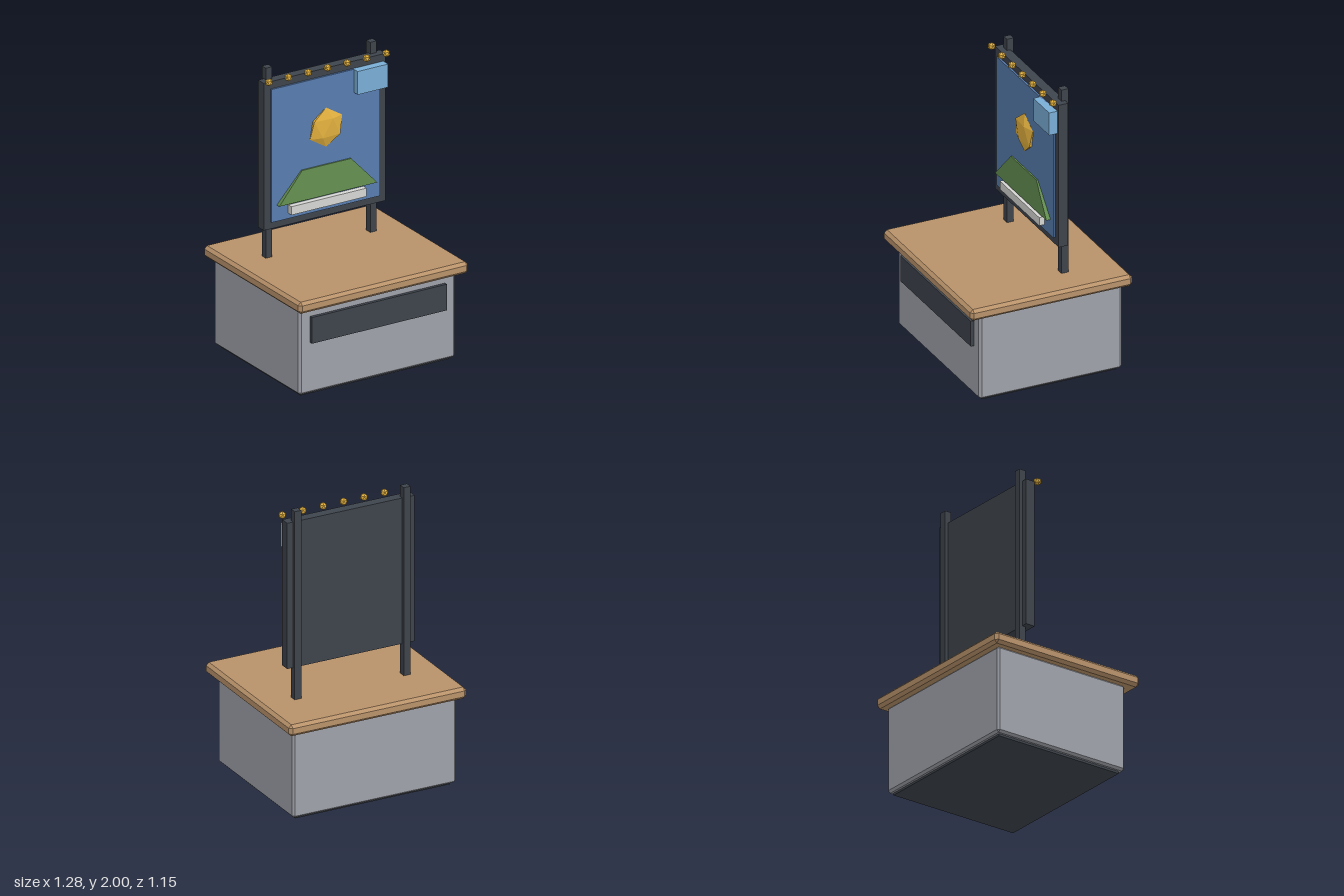
import * as THREE from 'three';
import { ConvexGeometry } from 'three/addons/geometries/ConvexGeometry.js';

const paint = (name, color) => {
  const m = new THREE.MeshStandardMaterial({ color });
  m.name = name;
  return m;
};

// Box from min/max corners
function boxGeometry([x0, y0, z0], [x1, y1, z1]) {
  return new THREE.BoxGeometry(x1 - x0, y1 - y0, z1 - z0)
    .translate((x0 + x1) / 2, (y0 + y1) / 2, (z0 + z1) / 2);
}

// Box with every edge cut by a single flat chamfer
function chamferedBox([x0, y0, z0], [x1, y1, z1], b) {
  const h = [(x1 - x0) / 2, (y1 - y0) / 2, (z1 - z0) / 2];
  const points = [];
  for (const sx of [-1, 1]) for (const sy of [-1, 1]) for (const sz of [-1, 1]) {
    for (let axis = 0; axis < 3; axis++) {
      const inset = h.map((v, i) => (i === axis ? v : v - b));
      points.push(new THREE.Vector3(sx * inset[0], sy * inset[1], sz * inset[2]));
    }
  }
  return new ConvexGeometry(points)
    .translate((x0 + x1) / 2, (y0 + y1) / 2, (z0 + z1) / 2);
}

// Faceted gem standing on one of its points
function gemGeometry(radius) {
  return new THREE.IcosahedronGeometry(radius, 0)
    .rotateZ(-Math.atan(2 / (1 + Math.sqrt(5))));
}

export function createModel() {
  const model = new THREE.Group();
  model.name = 'signCounter';

  const wood = paint('wood', 0xb8926a);
  const grey = paint('cabinetGrey', 0x9fa1a9);
  const dark = paint('darkMetal', 0x3e444c);
  const blue = paint('signBlue', 0x587cae);
  const sky = paint('paleBlue', 0x7aaed6);
  const gold = paint('gold', 0xe2b03e);
  const green = paint('green', 0x618b4e);
  const white = paint('offWhite', 0xd6d6d4);

  const add = (name, geometry, material, parent = model) => {
    const mesh = new THREE.Mesh(geometry, material);
    mesh.name = name;
    parent.add(mesh);
    return mesh;
  };

  // Counter
  add('plinth', boxGeometry([-0.56, 0, -0.49], [0.56, 0.03, 0.46]), dark);
  add('cabinet', chamferedBox([-0.59, 0.015, -0.52], [0.59, 0.615, 0.49], 0.015), grey);
  add('worktop', chamferedBox([-0.64, 0.61, -0.573], [0.64, 0.69, 0.573], 0.02), wood);
  add('frontPanel', boxGeometry([-0.508, 0.365, 0.48], [0.508, 0.545, 0.513]), dark);

  // Sign board on two posts
  for (const side of [-1, 1]) {
    const x = side * 0.394;
    add(side < 0 ? 'rightPost' : 'leftPost',
      boxGeometry([x - 0.024, 0.68, -0.222], [x + 0.024, 2, -0.174]), dark);
  }
  add('signBacking', boxGeometry([-0.46, 0.905, -0.2], [0.46, 1.92, -0.133]), dark);
  add('signFace', boxGeometry([-0.41, 0.953, -0.14], [0.41, 1.87, -0.12]), blue);

  // Raised picture on the sign
  add('cornerPlate', boxGeometry([0.212, 1.71, -0.135], [0.442, 1.87, -0.075]), sky);
  add('lowerBar', boxGeometry([-0.284, 0.99, -0.135], [0.284, 1.048, -0.082]), white);

  const gem = add('signGem', gemGeometry(0.135), gold);
  gem.scale.z = 0.21;
  gem.position.set(0, 1.52, -0.117);

  const mound = new THREE.CylinderGeometry(Math.SQRT1_2, Math.SQRT2, 0.2, 4, 1)
    .rotateY(Math.PI / 4)
    .scale(0.37, 1, 0.04)
    .translate(0, 1.165, -0.13)
    .toNonIndexed();
  mound.computeVertexNormals();
  add('signMound', mound, green);

  // Row of bulbs along the top
  const bulbs = new THREE.Group();
  bulbs.name = 'bulbs';
  model.add(bulbs);
  const bulb = gemGeometry(0.027);
  for (let i = 0; i < 7; i++) {
    add('bulb', bulb, gold, bulbs).position.set((i - 3) * 0.1475, 1.935, -0.1);
  }

  return model;
}
